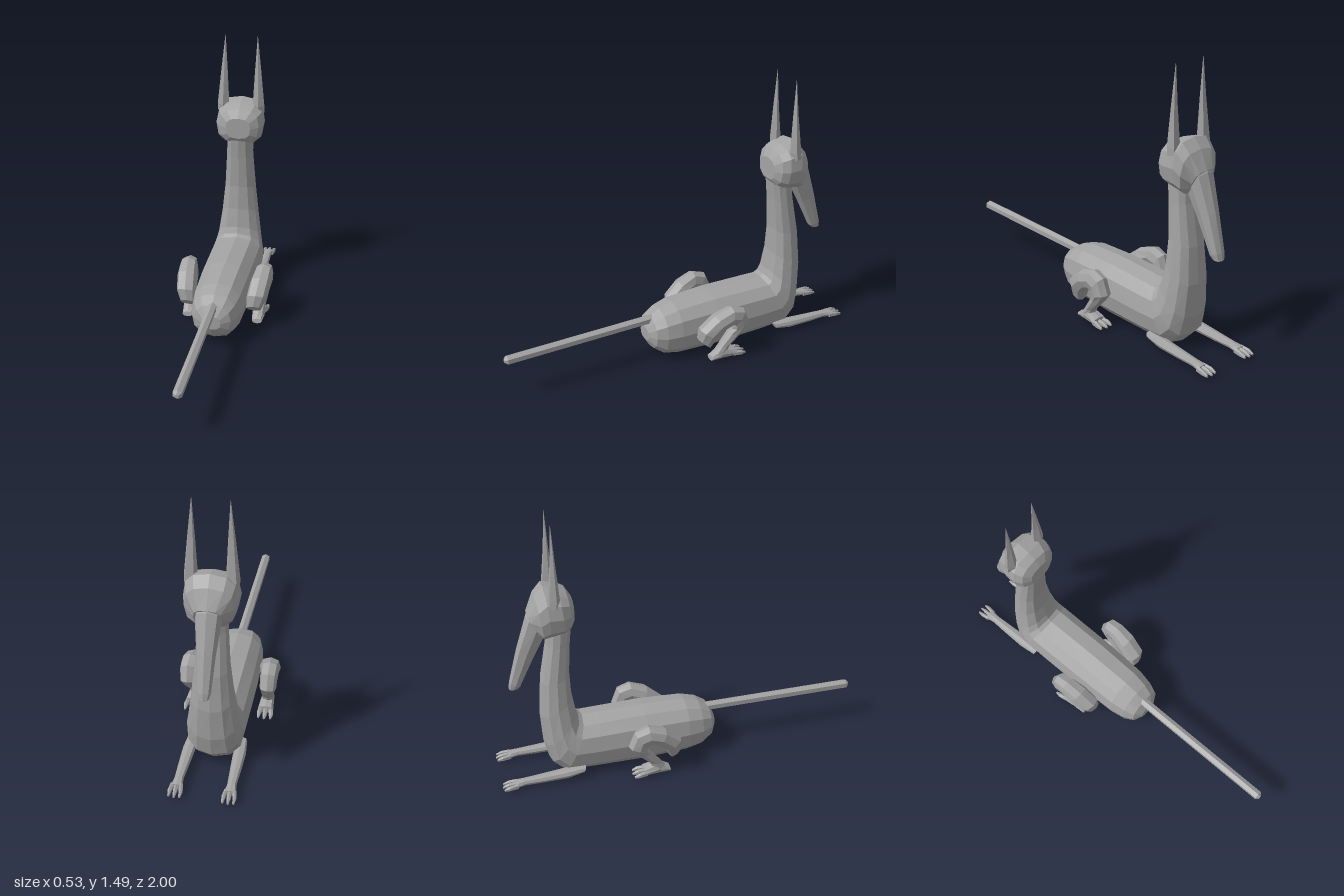
import * as THREE from 'three';

const fur = new THREE.MeshStandardMaterial({ color: 0xa3a3a3, flatShading: true });
fur.name = 'grey';

// Skin over cross-sections. Each ring: [zA, yA, zB, yB, halfWidth, xCentre],
// where A and B are the ring's two ends in the side plane.
function loft(name, rings, sides = 10, power = 0.85) {
  const pos = [], idx = [];
  const bend = (v) => Math.sign(v) * Math.pow(Math.abs(v), power);
  for (const [zA, yA, zB, yB, w, cx = 0] of rings) {
    for (let j = 0; j < sides; j++) {
      const a = (j / sides) * Math.PI * 2;
      const c = bend(Math.cos(a)) / 2, s = bend(Math.sin(a));
      pos.push(cx + w * s, (yA + yB) / 2 + (yA - yB) * c, (zA + zB) / 2 + (zA - zB) * c);
    }
  }
  const last = (rings.length - 1) * sides;
  for (let i = 0; i < last; i += sides) {
    for (let j = 0; j < sides; j++) {
      const k = (j + 1) % sides;
      idx.push(i + j, i + k, i + sides + k, i + j, i + sides + k, i + sides + j);
    }
  }
  // End caps
  for (let j = 1; j < sides - 1; j++) {
    idx.push(0, j + 1, j, last, last + j, last + j + 1);
  }
  const g = new THREE.BufferGeometry();
  g.setAttribute('position', new THREE.Float32BufferAttribute(pos, 3));
  g.setIndex(idx);
  const flat = g.toNonIndexed();
  flat.computeVertexNormals();
  const mesh = new THREE.Mesh(flat, fur);
  mesh.name = name;
  return mesh;
}

// Three tapering toes fanned out in front of a paw
function toes(name, x, z, y, spread, length) {
  const g = new THREE.Group();
  g.name = name;
  for (const i of [-1, 0, 1]) {
    const a = x + i * spread, b = x + i * spread * 1.3;
    const reach = length * (i === 0 ? 1 : 0.93);
    g.add(loft('toe', [
      [z, y + 0.035, z, y, spread * 0.55, a],
      [z - reach * 0.6, y + 0.028, z - reach * 0.6, y, spread * 0.5, b],
      [z - reach, y + 0.014, z - reach, y + 0.002, spread * 0.25, b],
    ], 6));
  }
  return g;
}

export function createModel() {
  const model = new THREE.Group();
  model.name = 'recliningHound';

  // Body sweeping up into the neck
  model.add(loft('bodyAndNeck', [
    [0.195, 0.21, 0.195, 0.13, 0.05],
    [0.165, 0.265, 0.17, 0.085, 0.1],
    [0.11, 0.3, 0.115, 0.04, 0.125],
    [0.03, 0.322, 0.03, 0.022, 0.14],
    [-0.2, 0.332, -0.2, 0.01, 0.148],
    [-0.45, 0.325, -0.5, 0.015, 0.15],
    [-0.535, 0.322, -0.66, 0.025, 0.15],
    [-0.555, 0.335, -0.725, 0.09, 0.142],
    [-0.568, 0.37, -0.75, 0.2, 0.128],
    [-0.585, 0.48, -0.76, 0.38, 0.108],
    [-0.59, 0.62, -0.745, 0.58, 0.09],
    [-0.578, 0.8, -0.705, 0.8, 0.077],
    [-0.56, 0.96, -0.69, 0.95, 0.07],
  ], 12));

  // Head
  model.add(loft('head', [
    [-0.557, 1.05, -0.555, 0.93, 0.07],
    [-0.585, 1.095, -0.575, 0.9, 0.115],
    [-0.63, 1.118, -0.61, 0.88, 0.135],
    [-0.7, 1.135, -0.68, 0.865, 0.132],
    [-0.745, 1.085, -0.715, 0.855, 0.12],
    [-0.79, 0.99, -0.73, 0.87, 0.07],
  ], 12, 0.75));

  // Long drooping muzzle
  model.add(loft('muzzle', [
    [-0.745, 1.06, -0.67, 0.93, 0.075],
    [-0.795, 0.98, -0.7, 0.865, 0.065],
    [-0.855, 0.79, -0.765, 0.74, 0.047],
    [-0.905, 0.6, -0.845, 0.575, 0.034],
    [-0.91, 0.56, -0.86, 0.56, 0.026],
  ], 8, 0.75));

  // Straight six-sided tail with a blunt point
  const tail = loft('tail', [
    [0.985, 0.275, 0.985, 0.223, 0.026],
    [0.1, 0.275, 0.1, 0.223, 0.026],
  ], 6, 1);
  const tailTip = loft('tailTip', [
    [1.0, 0.26, 1.0, 0.238, 0.011],
    [0.985, 0.275, 0.985, 0.223, 0.026],
  ], 6, 1);
  model.add(tail, tailTip);

  for (const side of [1, -1]) {
    const label = side > 0 ? 'left' : 'right';

    // Tall pointed ear
    model.add(loft(label + 'Ear', [
      [-0.635, 1.06, -0.695, 1.06, 0.035, side * 0.1],
      [-0.63, 1.1, -0.692, 1.1, 0.035, side * 0.1],
      [-0.643, 1.3, -0.67, 1.3, 0.019, side * 0.095],
      [-0.654, 1.5, -0.656, 1.5, 0.001, side * 0.09],
    ], 5, 1));

    // Folded hind leg: thigh curling over the knee and back to the heel
    const hind = new THREE.Group();
    hind.name = label + 'HindLeg';
    hind.add(loft('thighAndShin', [
      [-0.035, 0.16, -0.1, 0.1, 0.042, side * 0.185],
      [-0.04, 0.225, -0.13, 0.16, 0.055, side * 0.197],
      [-0.125, 0.295, -0.17, 0.205, 0.056, side * 0.207],
      [-0.22, 0.33, -0.21, 0.22, 0.05, side * 0.214],
      [-0.295, 0.305, -0.228, 0.212, 0.046, side * 0.216],
      [-0.33, 0.22, -0.225, 0.19, 0.044, side * 0.214],
      [-0.285, 0.16, -0.205, 0.165, 0.038, side * 0.208],
      [-0.215, 0.09, -0.15, 0.085, 0.032, side * 0.2],
      [-0.2, 0.045, -0.105, 0.03, 0.034, side * 0.198],
    ], 8));
    hind.add(loft('hindFoot', [
      [-0.105, 0.045, -0.1, 0.018, 0.028, side * 0.198],
      [-0.17, 0.085, -0.17, 0.015, 0.036, side * 0.198],
      [-0.25, 0.06, -0.25, 0.016, 0.042, side * 0.199],
    ], 8));
    hind.add(toes('hindToes', side * 0.2, -0.235, 0.016, 0.025, 0.075));
    model.add(hind);

    // Forelegs stretched flat along the ground
    const fore = new THREE.Group();
    fore.name = label + 'Foreleg';
    fore.add(loft('forearm', [
      [-0.55, 0.08, -0.565, 0.045, 0.026, side * 0.128],
      [-0.65, 0.077, -0.65, 0.03, 0.033, side * 0.13],
      [-0.78, 0.068, -0.78, 0.027, 0.028, side * 0.132],
      [-0.88, 0.062, -0.88, 0.027, 0.023, side * 0.133],
      [-0.935, 0.055, -0.935, 0.022, 0.031, side * 0.134],
    ], 8));
    fore.add(toes('foreToes', side * 0.134, -0.92, 0.02, 0.021, 0.08));
    model.add(fore);
  }

  // Reverse-direction check is unnecessary: tail rings also run towards -z
  return model;
}
